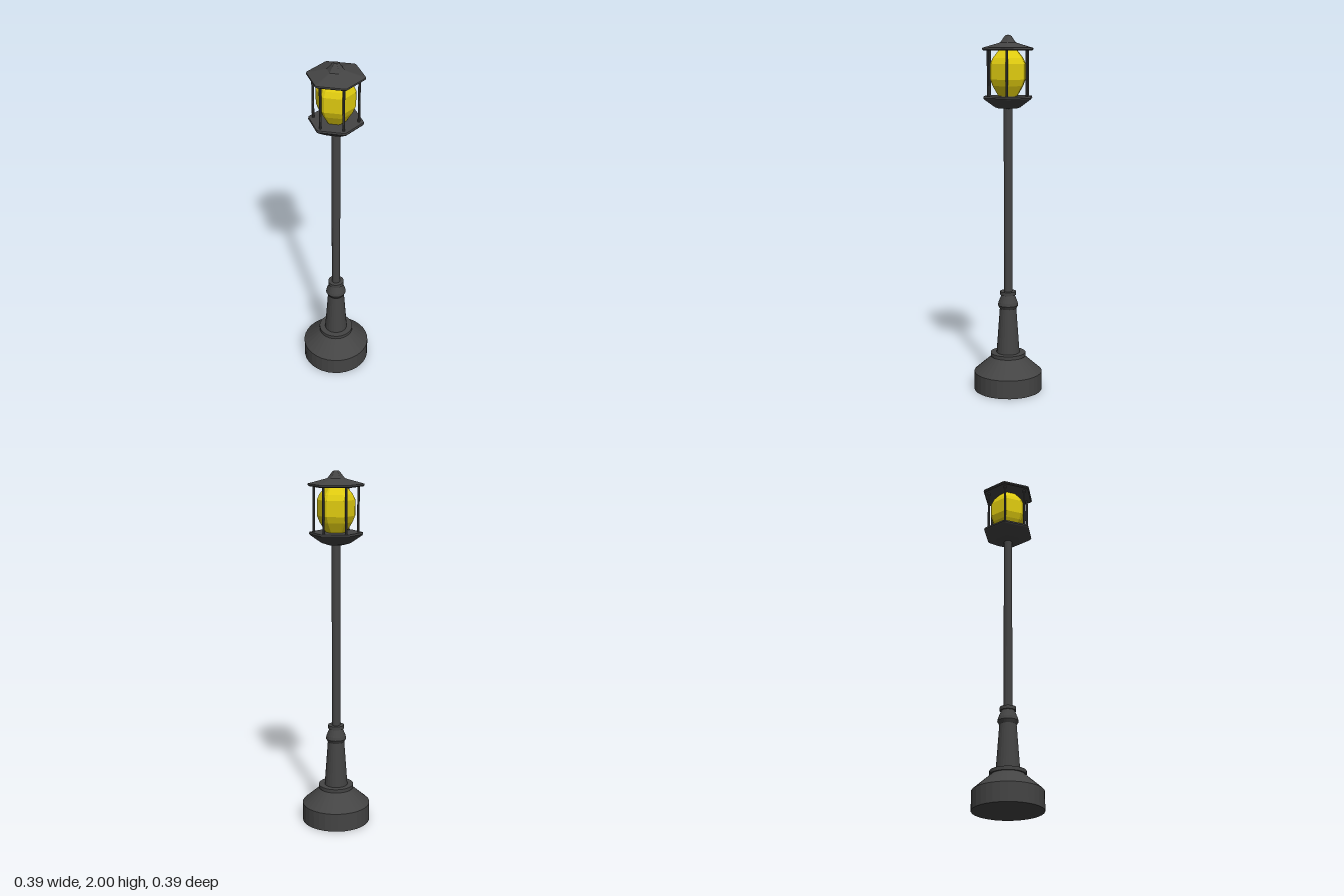
import * as THREE from 'three';

const iron = new THREE.MeshStandardMaterial({ color: 0x444444, flatShading: true });
const glow = new THREE.MeshStandardMaterial({ color: 0xe0cc10, flatShading: true });

// Profile points run from the bottom up as [radius, height]
function lathe(profile, segments) {
  return new THREE.LatheGeometry(profile.map(([r, y]) => new THREE.Vector2(r, y)), segments);
}

// Hexagonal lathe with each corner cut by a small angle (degrees); corners point to +z and -z
function hexLathe(profile, cut) {
  const geometry = lathe(profile, 12);
  const pos = geometry.attributes.position;
  for (let k = 0; k < pos.count; k++) {
    const column = Math.floor(k / profile.length);
    const [r, y] = profile[k % profile.length];
    const degrees = column % 2 === 0 ? column * 30 + cut : (column + 1) * 30 - cut;
    const a = THREE.MathUtils.degToRad(degrees);
    pos.setXYZ(k, r * Math.sin(a), y, r * Math.cos(a));
  }
  geometry.computeVertexNormals();
  return geometry;
}

export function createModel() {
  const model = new THREE.Group();
  model.name = 'streetLamp';

  function add(name, geometry, material = iron) {
    const mesh = new THREE.Mesh(geometry, material);
    mesh.name = name;
    model.add(mesh);
    return mesh;
  }

  // Broad foot with sloped shoulder and collar
  add('base', lathe([
    [0, 0], [0.193, 0], [0.193, 0.105], [0.09, 0.195],
    [0.099, 0.195], [0.099, 0.215], [0, 0.215],
  ], 32));

  // Tapered lower column with a bulge and a ring
  add('lowerColumn', lathe([
    [0.066, 0.21], [0.047, 0.472], [0.058, 0.492], [0.054, 0.51], [0.037, 0.552],
    [0.045, 0.552], [0.045, 0.572], [0, 0.572],
  ], 24));

  // Slim pole
  const pole = add('pole', new THREE.CylinderGeometry(0.024, 0.024, 1.05, 16));
  pole.position.y = 1.085;

  // Lantern tray
  add('lanternTray', hexLathe([
    [0, 1.603], [0.055, 1.603], [0.078, 1.61], [0.142, 1.653],
    [0.147, 1.66], [0.145, 1.67], [0, 1.67],
  ], 2));

  // Glowing glass
  add('glass', hexLathe([
    [0, 1.668], [0.055, 1.668], [0.09, 1.725], [0.104, 1.76],
    [0.104, 1.845], [0.09, 1.875], [0.055, 1.917], [0, 1.917],
  ], 5), glow);

  // Six thin posts at the lantern corners
  for (let i = 0; i < 6; i++) {
    const a = i * Math.PI / 3;
    const post = add('lanternPost' + (i + 1), new THREE.CylinderGeometry(0.007, 0.007, 0.255, 8));
    post.position.set(0.121 * Math.sin(a), 1.793, 0.121 * Math.cos(a));
  }

  // Hexagonal roof rising to a small cap
  add('roof', hexLathe([
    [0, 1.916], [0.146, 1.916], [0.153, 1.922], [0.152, 1.93],
    [0.06, 1.955], [0.048, 1.959], [0.038, 1.97], [0.022, 1.992], [0.013, 1.999], [0, 2],
  ], 2));

  return model;
}
